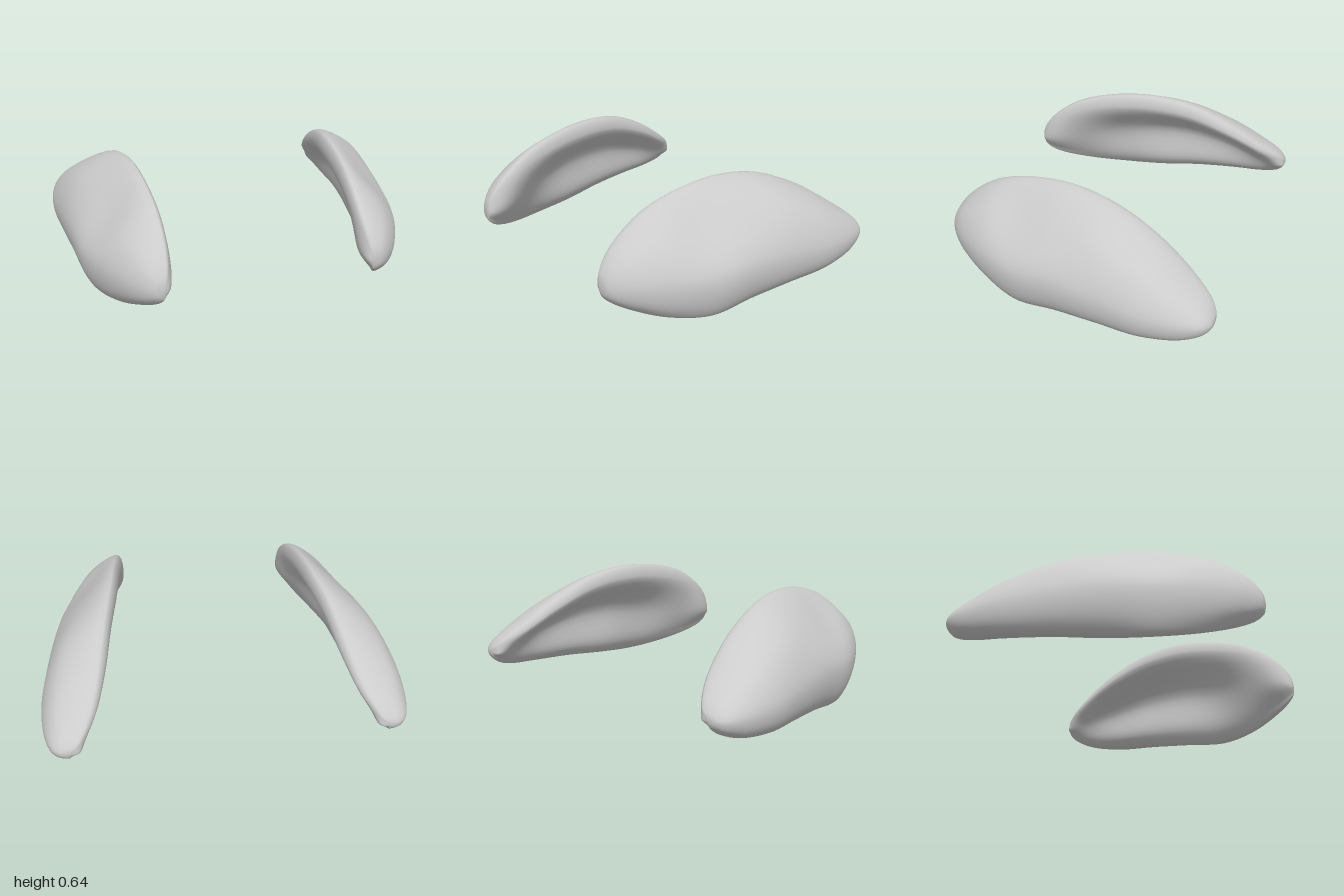
import * as THREE from 'three';

// Stations front to back:
// z, top edge x/y, outer ridge x/y, bottom edge x/y, inner hollow depth, upper slope fullness
const STATIONS = [
  [0.802, 0.56, 0.25, 0.575, 0.235, 0.563, 0.22, -0.004, 0.2],
  [0.792, 0.55, 0.295, 0.615, 0.235, 0.565, 0.18, -0.022, 0.2],
  [0.755, 0.54, 0.36, 0.665, 0.24, 0.582, 0.14, -0.042, 0.2],
  [0.68, 0.535, 0.44, 0.73, 0.25, 0.63, 0.095, -0.064, 0.17],
  [0.52, 0.54, 0.548, 0.82, 0.26, 0.735, 0.035, -0.055, 0.12],
  [0.30, 0.56, 0.618, 0.902, 0.26, 0.83, 0.002, -0.005, 0.05],
  [0.05, 0.585, 0.64, 0.942, 0.28, 0.85, 0.02, 0.03, 0.09],
  [-0.20, 0.624, 0.602, 0.975, 0.265, 0.89, 0.043, 0.034, 0.15],
  [-0.45, 0.668, 0.492, 0.998, 0.235, 0.92, 0.058, 0.014, 0.18],
  [-0.65, 0.722, 0.36, 0.978, 0.215, 0.895, 0.086, -0.02, 0.2],
  [-0.755, 0.776, 0.28, 0.94, 0.205, 0.857, 0.13, -0.035, 0.2],
  [-0.79, 0.808, 0.237, 0.9, 0.2, 0.848, 0.165, -0.03, 0.2],
  [-0.80, 0.84, 0.212, 0.865, 0.2, 0.848, 0.188, -0.01, 0.2],
];
const RINGS = 84, AROUND = 48;

// Eight points round one cross-section, clockwise seen from the front
function sectionPoints([z, tx, ty, ox, oy, bx, by, hollow, full]) {
  const h = ty - by;
  const s = Math.min(1, h * 2.5);
  const p = (x, y) => new THREE.Vector3(x, y, z);
  return [
    p(tx, ty),                                                        // top edge
    p(tx + (ox - tx) * (0.5 + full), ty + (oy - ty) * (0.5 - full)),  // upper slope
    p(ox, oy),                                                        // outer ridge
    p(ox + (bx - ox) * 0.2, oy + (by - oy) * 0.7),                    // lower flank
    p(bx, by),                                                        // bottom edge
    p(bx + (tx - bx) * 0.22 - 0.02 * s, by + h * 0.13),               // inner lower rim
    p((tx + bx) / 2 + hollow, by + h * 0.5 + hollow * 0.3),           // inner hollow
    p(tx - 0.028 * s, ty - h * 0.15),                                 // inner upper rim
  ];
}

// Closed shell lofted through the sections; side is +1 or -1
function shellGeometry(side) {
  const sections = STATIONS.map(sectionPoints);
  const rails = sections[0].map((_, k) => new THREE.CatmullRomCurve3(sections.map((s) => s[k])));
  const positions = [], index = [];
  for (let i = 0; i <= RINGS; i++) {
    const corners = rails.map((r) => r.getPoint(i / RINGS));
    const loop = new THREE.CatmullRomCurve3(corners, true);
    const centre = corners[0].clone().lerp(corners[4], 0.5);
    for (let j = 0; j < AROUND; j++) {
      const v = i % RINGS === 0 ? centre : loop.getPoint(j / AROUND);
      positions.push(side * v.x, v.y, v.z);
      if (i === RINGS) continue;
      const a = i * AROUND + j, c = i * AROUND + (j + 1) % AROUND;
      const b = a + AROUND, d = c + AROUND;
      if (side > 0) index.push(a, c, b, c, d, b);
      else index.push(a, b, c, c, b, d);
    }
  }
  const geometry = new THREE.BufferGeometry();
  geometry.setAttribute('position', new THREE.Float32BufferAttribute(positions, 3));
  geometry.setIndex(index);
  geometry.computeVertexNormals();
  return geometry;
}

export function createModel() {
  const group = new THREE.Group();
  group.name = 'curvedShellPair';
  const material = new THREE.MeshStandardMaterial({ color: 0xcccccc });
  for (const [name, side] of [['leftShell', 1], ['rightShell', -1]]) {
    const mesh = new THREE.Mesh(shellGeometry(side), material);
    mesh.name = name;
    group.add(mesh);
  }
  return group;
}
